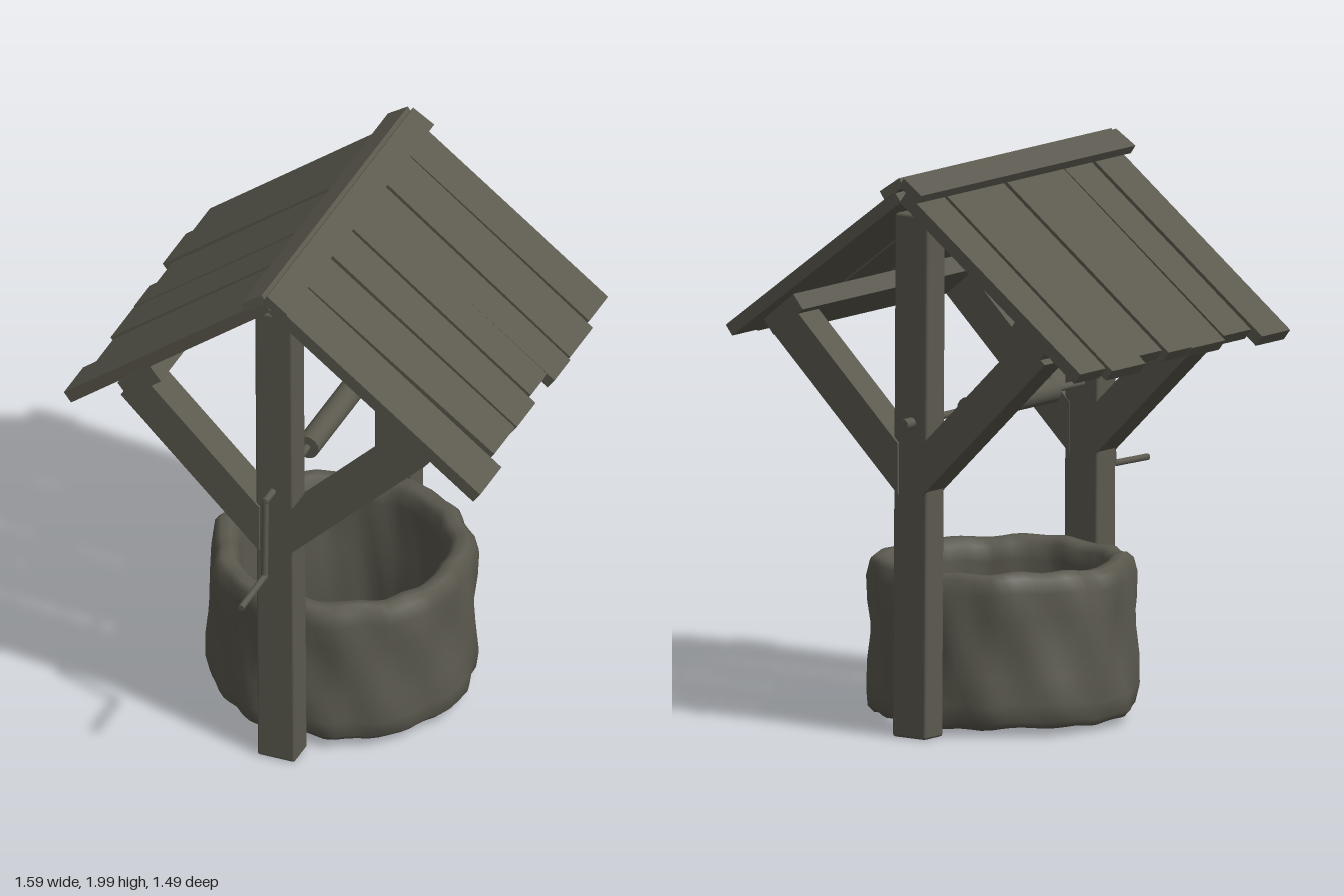
import * as THREE from 'three';
import { mergeVertices } from 'three/addons/utils/BufferGeometryUtils.js';
import { RoundedBoxGeometry } from 'three/addons/geometries/RoundedBoxGeometry.js';

const material = new THREE.MeshStandardMaterial({ color: 0x5b594e });
material.name = 'weathered grey';

function add(group, name, geometry, x = 0, y = 0, z = 0) {
  const mesh = new THREE.Mesh(geometry, material);
  mesh.name = name;
  mesh.position.set(x, y, z);
  group.add(mesh);
  return mesh;
}

// Board between two points of the front outline, running over a z range that may skew along its length
function board(a, b, thickness, inner, outer) {
  const geo = new THREE.BoxGeometry(1, 1, 1);
  const p = geo.attributes.position;
  const dx = b[0] - a[0], dy = b[1] - a[1], len = Math.hypot(dx, dy);
  const s = Math.sign(dx) || 1;
  for (let i = 0; i < p.count; i++) {
    // mirrored boards flip u, so the face winding stays outward
    const t = p.getX(i) * s + 0.5;
    const drop = (p.getY(i) - 0.5) * thickness;
    const z0 = inner[0] + (outer[0] - inner[0]) * t;
    const z1 = inner[1] + (outer[1] - inner[1]) * t;
    p.setXYZ(i,
      a[0] + dx * t - (dy / len) * s * drop,
      a[1] + dy * t + (dx / len) * s * drop,
      z0 + (z1 - z0) * (p.getZ(i) + 0.5));
  }
  geo.computeVertexNormals();
  return geo;
}

// Lumpy stone ring, open through the middle
function stoneRing() {
  const profile = [
    [0.36, 0.07], [0.39, 0.04], [0.44, 0.035], [0.465, 0.06], [0.472, 0.12], [0.466, 0.22],
    [0.46, 0.32], [0.462, 0.42], [0.462, 0.51], [0.452, 0.56], [0.43, 0.58], [0.395, 0.578],
    [0.37, 0.555], [0.365, 0.5], [0.37, 0.3], [0.36, 0.07],
  ].map(([r, y]) => new THREE.Vector2(r, y));
  let geo = new THREE.LatheGeometry(profile, 72);
  geo.deleteAttribute('uv');
  geo.deleteAttribute('normal');
  geo = mergeVertices(geo, 1e-4);
  const p = geo.attributes.position;
  for (let i = 0; i < p.count; i++) {
    const x = p.getX(i), y = p.getY(i), z = p.getZ(i);
    const a = Math.atan2(z, x), r = Math.hypot(x, z);
    const bump = 0.007 * Math.sin(7 * a + 9 * y) + 0.006 * Math.sin(11 * a - 14 * y + 1)
      + 0.004 * Math.sin(19 * a + 6 * y + 2);
    const k = 1 + (r > 0.4 ? bump : bump * 0.6) / r;
    const lift = 0.005 * Math.sin(5 * a + 1) + 0.004 * Math.sin(13 * a);
    p.setXYZ(i, x * k, y + lift, z * k);
  }
  geo.computeVertexNormals();
  return geo;
}

// Round bar along z
function bar(radius, z0, z1, sides = 12) {
  const geo = new THREE.CylinderGeometry(radius, radius, z1 - z0, sides);
  geo.rotateX(Math.PI / 2);
  geo.translate(0, 0, (z0 + z1) / 2);
  return geo;
}

export function createModel() {
  const model = new THREE.Group();
  model.name = 'wishingWell';

  add(model, 'stoneRing', stoneRing(), -0.005, 0, -0.11);

  // Posts, each with a pair of angled braces
  const posts = [['front', 0.41, 0.115, 0.35], ['back', -0.63, 0.11, -0.695]];
  for (const [end, z, depth, braceZ] of posts) {
    const post = add(model, end + 'Post',
      new RoundedBoxGeometry(0.142, 1.85, depth, 1, 0.01), -0.016, 0.935, z);
    post.rotation.z = 0.006;
    for (const side of [-1, 1]) {
      const corners = [[0.05, 0.87], [0.05, 1.05], [0.48, 1.475], [0.575, 1.385]];
      const shape = new THREE.Shape(corners.map(([x, y]) => new THREE.Vector2(side * x, y)));
      const geo = new THREE.ExtrudeGeometry(shape, { depth: 0.125, bevelEnabled: false });
      add(model, end + (side > 0 ? 'Left' : 'Right') + 'Brace', geo, -0.02, 0, braceZ);
    }
  }

  // Roof planks: z range at the ridge, z range at the eaves, eaves x, lift
  const planks = {
    Right: [
      [-0.735, -0.565, -0.735, -0.58, 0.775, 0],
      [-0.555, -0.35, -0.57, -0.365, 0.795, 0.006],
      [-0.355, -0.2, -0.355, -0.21, 0.755, -0.004],
      [-0.19, -0.05, -0.2, -0.06, 0.775, 0.004],
      [-0.045, 0.16, -0.055, 0.145, 0.775, 0],
      [0.17, 0.335, 0.165, 0.33, 0.755, -0.004],
      [0.345, 0.52, 0.34, 0.51, 0.795, 0.004],
    ],
    Left: [
      [-0.735, -0.57, -0.73, -0.565, 0.735, 0],
      [-0.56, -0.365, -0.545, -0.345, 0.757, 0.006],
      [-0.355, -0.205, -0.34, -0.2, 0.76, 0],
      [-0.2, -0.06, -0.19, -0.045, 0.735, 0.008],
      [-0.05, 0.12, -0.035, 0.128, 0.757, 0.004],
      [0.13, 0.325, 0.13, 0.312, 0.75, -0.004],
      [0.335, 0.525, 0.342, 0.53, 0.79, 0],
    ],
  };
  for (const [name, list] of Object.entries(planks)) {
    const s = name === 'Left' ? 1 : -1;
    for (const [i0, i1, o0, o1, x, lift] of list) {
      const eavesY = 1.945 - (x - 0.025) * 0.76 + lift;
      const geo = board([s * 0.025 - 0.01, 1.945 + lift], [s * x, eavesY], 0.045, [i0, i1], [o0, o1]);
      add(model, 'roofPlank' + name, geo);
    }
    // Purlin under the planks and cap board along the ridge
    add(model, 'purlin' + name,
      board([s * 0.475 - 0.005, 1.535], [s * 0.6 - 0.005, 1.435], 0.065, [-0.7, 0.48], [-0.7, 0.48]));
    add(model, 'ridgeBoard' + name,
      board([s * 0.01 - 0.018, 1.995], [s * 0.088 - 0.018, 1.942], 0.035, [-0.74, 0.55], [-0.745, 0.555]));
  }

  // Winding roller, axle and crank handle
  const winch = new THREE.Group();
  winch.name = 'winch';
  winch.position.set(-0.022, 1.125, 0);
  model.add(winch);
  add(winch, 'axle', bar(0.013, -0.72, 0.54));
  add(winch, 'axleEnd', bar(0.02, -0.735, -0.685));
  add(winch, 'roller', bar(0.044, -0.345, 0.165, 16));
  add(winch, 'ropePeg', new THREE.CylinderGeometry(0.012, 0.012, 0.05, 8), 0, -0.042, -0.212);
  const arm = add(winch, 'crankArm', new THREE.CylinderGeometry(0.012, 0.012, 0.325, 10), 0, -0.155, 0.535);
  arm.rotation.x = -0.03;
  const handle = add(winch, 'crankHandle', bar(0.012, 0, 0.215, 10), 0, -0.31, 0.533);
  handle.rotation.x = 0.025;

  return model;
}
